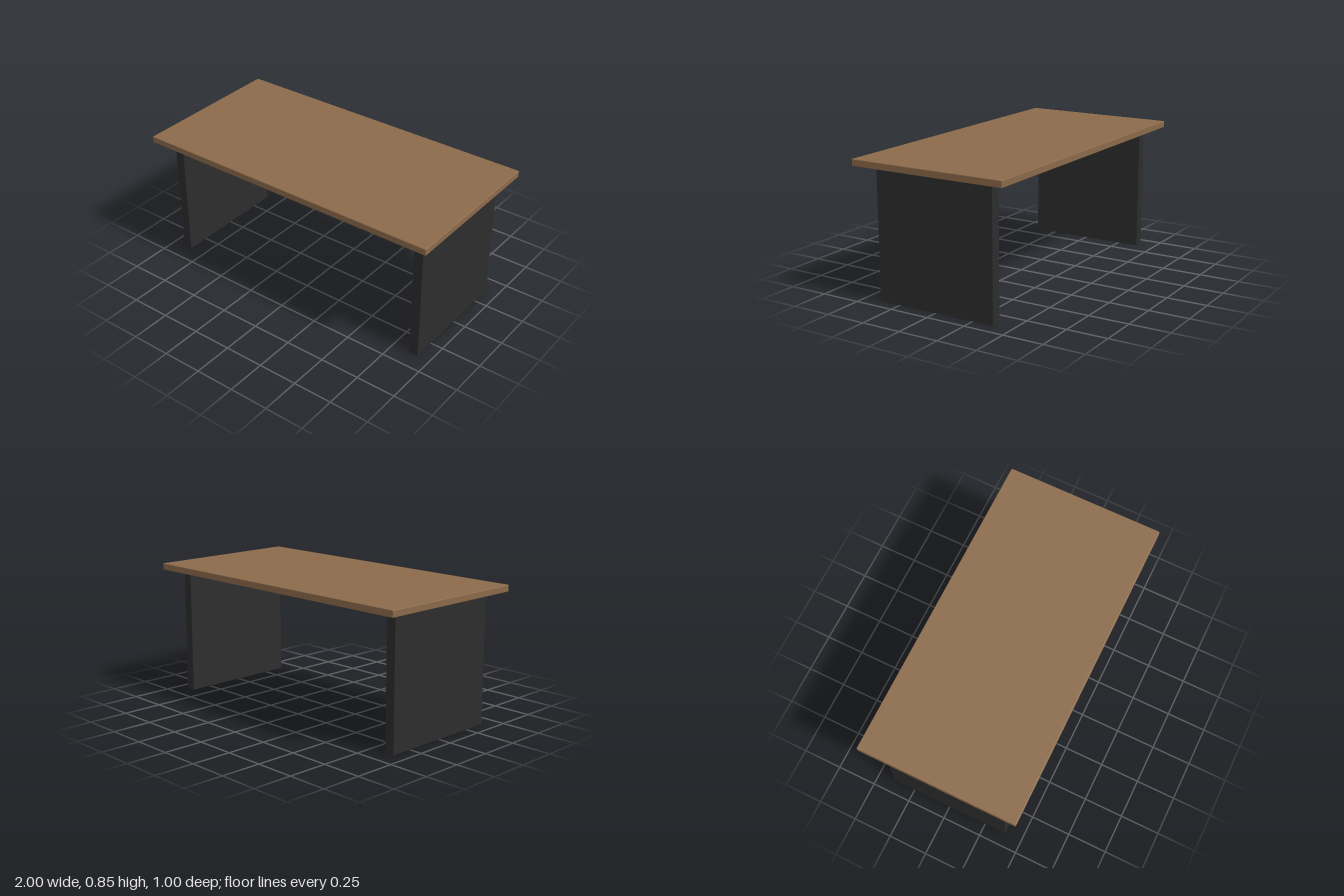
import * as THREE from 'three';
import { RoundedBoxGeometry } from 'three/addons/geometries/RoundedBoxGeometry.js';

export function createModel() {
  const wood = new THREE.MeshStandardMaterial({ name: 'wood', color: 0x8b6a4a });
  const charcoal = new THREE.MeshStandardMaterial({ name: 'charcoal', color: 0x2d2d2d });
  const group = new THREE.Group();
  group.name = 'table';

  // Slab with slightly eased edges, placed by its underside
  const slab = (name, material, [w, h, d], x, bottom) => {
    const mesh = new THREE.Mesh(new RoundedBoxGeometry(w, h, d, 2, 0.005), material);
    mesh.name = name;
    mesh.position.set(x, bottom + h / 2, 0);
    group.add(mesh);
  };

  slab('tableTop', wood, [2, 0.042, 1], 0, 0.803);

  // Panel legs at both ends
  for (const side of [1, -1]) {
    slab(side > 0 ? 'leftLegPanel' : 'rightLegPanel', charcoal, [0.064, 0.803, 0.78], side * 0.889, 0);
  }

  // Stretcher beam joining the panels below the top
  slab('stretcherBeam', charcoal, [1.73, 0.063, 0.06], 0, 0.705);

  return group;
}
